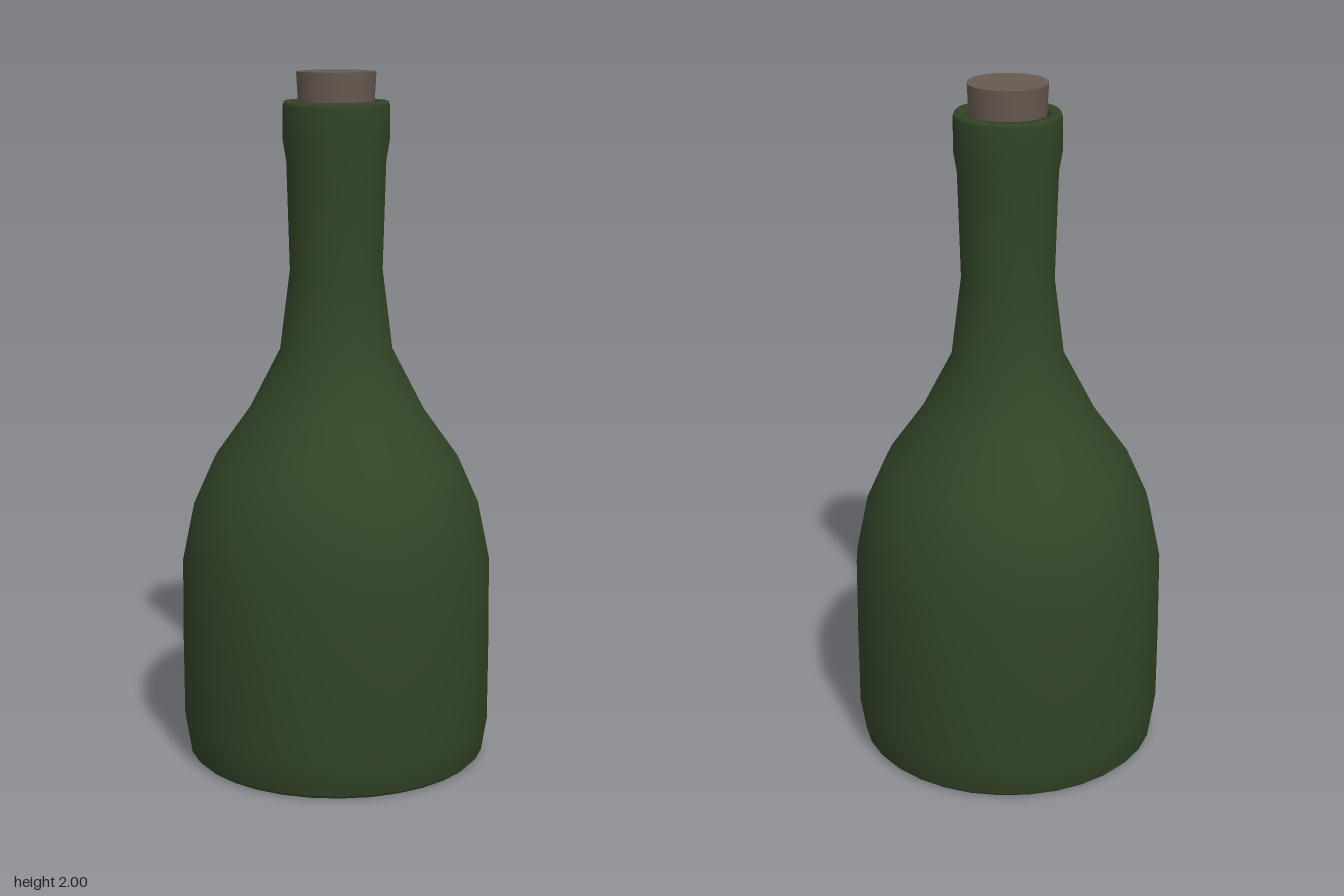
import * as THREE from 'three';

const SEGMENTS = 32;

// Revolve a list of [radius, height] pairs around the y axis
function lathe(name, profile, material) {
  const points = profile.map(([r, y]) => new THREE.Vector2(r, y));
  const mesh = new THREE.Mesh(new THREE.LatheGeometry(points, SEGMENTS), material);
  mesh.name = name;
  return mesh;
}

export function createModel() {
  const glass = new THREE.MeshStandardMaterial({ color: 0x324427 });
  glass.name = 'green glass';
  const corkBrown = new THREE.MeshStandardMaterial({ color: 0x665950 });
  corkBrown.name = 'cork brown';

  const model = new THREE.Group();
  model.name = 'bottle';

  // Glass: hollowed base, body, shoulder, neck, lip and inside of the mouth
  model.add(lathe('glassBody', [
    [0, 0.07], [0.22, 0.05], [0.41, 0.005], [0.425, 0], [0.437, 0.012],
    [0.453, 0.11], [0.454, 0.34], [0.452, 0.58],
    [0.417, 0.75], [0.355, 0.89], [0.255, 1.03], [0.162, 1.21],
    [0.133, 1.44], [0.142, 1.75], [0.152, 1.81], [0.152, 1.905],
    [0.147, 1.918], [0.122, 1.918], [0.114, 1.9], [0.11, 1.78],
  ], glass));

  // Cork: tapered stopper with hard edges, reaching down into the mouth
  const cork = new THREE.Mesh(
    new THREE.CylinderGeometry(0.113, 0.1, 0.24, SEGMENTS), corkBrown);
  cork.name = 'cork';
  cork.position.y = 1.88;
  model.add(cork);

  return model;
}
